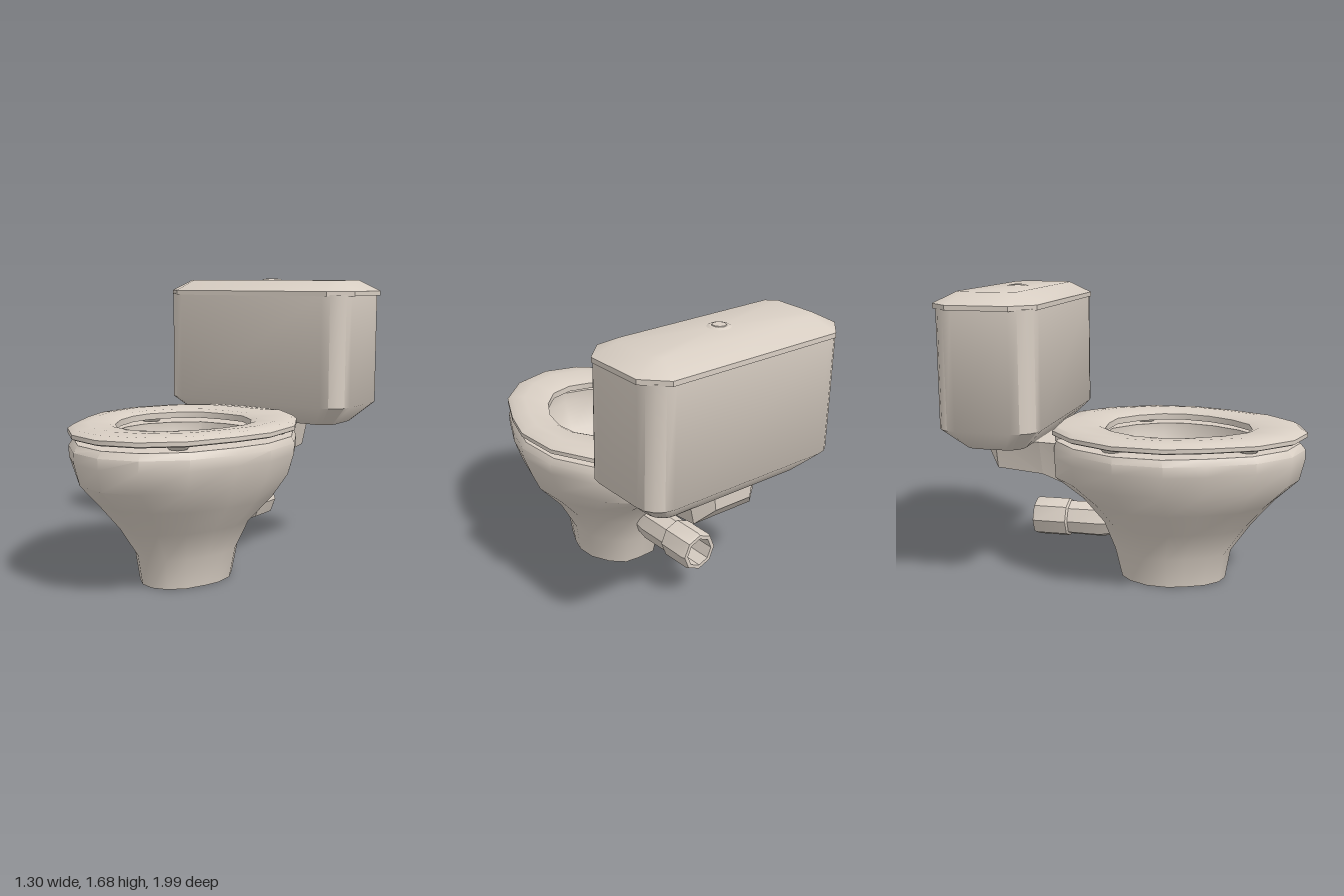
import * as THREE from 'three';
import { toCreasedNormals } from 'three/addons/utils/BufferGeometryUtils.js';

const ceramic = new THREE.MeshStandardMaterial({ color: 0xd8cec3 });
ceramic.name = 'ceramic';

// Half outlines in plan (x, z), front to back; mirrored into closed loops
const EGG = [[0, .99], [.215, .93], [.405, .755], [.525, .5], [.595, .28], [.58, 0], [.445, -.26], [.26, -.42], [0, -.44]];
const HOLE = [[0, .68], [.14, .645], [.255, .53], [.335, .385], [.37, .23], [.355, .1], [.27, -.04], [.15, -.14], [0, -.155]];
const mirrorLoop = (half) => [...half, ...half.slice(1, -1).reverse().map(([x, z]) => [-x, z])];

// Stretch a half outline to a given half width, front z and back z
function ring(half, y, width, front, back) {
  const w = Math.max(...half.map((p) => p[0]));
  const f = half[0][1], b = half[half.length - 1][1];
  return mirrorLoop(half).map(([x, z]) => [x / w * width, y, back + (z - b) / (f - b) * (front - back)]);
}

// Rectangle in plan with cut or rounded corners
function rectRing(y, hx, front, back, r, steps) {
  const pts = [];
  const corners = [[1, 1, Math.PI / 2], [1, -1, 0], [-1, -1, -Math.PI / 2], [-1, 1, -Math.PI]];
  for (const [sx, sz, start] of corners) {
    for (let i = 0; i <= steps; i++) {
      const a = start - (i / steps) * Math.PI / 2;
      pts.push([sx * (hx - r) + r * Math.cos(a), y, (sz > 0 ? front - r : back + r) + r * Math.sin(a)]);
    }
  }
  return pts;
}

// Skin a series of equal-length loops
function loft(rings, { capStart = true, capEnd = true, closed = false, crease = 0.7 } = {}) {
  const n = rings[0].length, pos = rings.flat(2), idx = [];
  const last = closed ? rings.length : rings.length - 1;
  for (let i = 0; i < last; i++) {
    const lo = i * n, hi = ((i + 1) % rings.length) * n;
    for (let j = 0; j < n; j++) {
      const k = (j + 1) % n;
      idx.push(lo + j, lo + k, hi + k, lo + j, hi + k, hi + j);
    }
  }
  const cap = (r, up) => {
    const c = pos.length / 3, base = r * n;
    for (let a = 0; a < 3; a++) pos.push(rings[r].reduce((s, p) => s + p[a], 0) / n);
    for (let j = 0; j < n; j++) {
      const k = (j + 1) % n;
      idx.push(c, base + (up ? j : k), base + (up ? k : j));
    }
  };
  if (capStart && !closed) cap(0, false);
  if (capEnd && !closed) cap(rings.length - 1, true);
  const g = new THREE.BufferGeometry();
  g.setAttribute('position', new THREE.Float32BufferAttribute(pos, 3));
  g.setIndex(idx);
  return toCreasedNormals(g, crease);
}

export function createModel() {
  const model = new THREE.Group();
  model.name = 'toilet';
  const add = (name, geometry, x = 0, y = 0, z = 0) => {
    const mesh = new THREE.Mesh(geometry, ceramic);
    mesh.name = name;
    mesh.position.set(x, y, z);
    model.add(mesh);
    return mesh;
  };
  const cx = -0.015;

  // Pedestal and bowl: recessed foot, flaring outside, rim, then the basin
  const outside = [
    [.03, .2, .49, -.01], [0, .2, .49, -.01], [0, .24, .54, -.06], [.17, .267, .57, -.10],
    [.34, .355, .69, -.16], [.49, .49, .82, -.27], [.61, .55, .95, -.43], [.73, .593, .98, -.43],
    [.79, .597, .98, -.43], [.825, .575, .95, -.42],
  ];
  const basin = [
    [.825, .41, .73, -.19], [.76, .41, .73, -.19], [.6, .35, .66, -.1], [.47, .22, .53, .06],
    [.38, .12, .42, .18], [.3, .08, .36, .2],
  ];
  add('bowl', loft([
    ...outside.map((p) => ring(EGG, ...p)),
    ...basin.map((p) => ring(HOLE, ...p)),
  ]), cx);

  // Seat ring with a rounded top
  add('seat', loft([
    ring(EGG, .855, .58, .975, -.43), ring(EGG, .862, .595, .99, -.44), ring(EGG, .885, .595, .99, -.44),
    ring(EGG, .905, .565, .955, -.42), ring(EGG, .912, .5, .86, -.33), ring(HOLE, .905, .4, .72, -.19),
    ring(HOLE, .89, .37, .68, -.155), ring(HOLE, .855, .37, .68, -.155),
  ], { closed: true }), cx);

  // Rubber feet under the seat and hinge blocks
  for (const s of [-1, 1]) {
    for (const [x, z] of [[.29, .69], [.44, -.03]]) {
      add('seatPad', new THREE.CylinderGeometry(.075, .05, .03, 12), cx + s * x, .842, z);
    }
    add('seatHinge', new THREE.CylinderGeometry(.035, .03, .06, 10), cx + s * .17, .84, -.4);
  }

  // Shelf behind the bowl that carries the tank: z, bottom, top, half widths
  const shelf = [
    [-.22, .47, .8, .1, .24], [-.5, .615, .815, .2, .26], [-.77, .64, .815, .2, .24], [-.85, .73, .8, .12, .13],
  ];
  add('tankShelf', loft(shelf.map(([z, b, t, wb, wt]) => [
    [wb, b, z], [-wb, b, z], [-wt, t, z], [wt, t, z],
  ]), { crease: 0.25 }), cx);

  // Waste outlet with a wider open collar
  const pipe = [[.05, 0], [.085, .1], [.105, .2], [.102, .39], [.115, .4], [.115, .585], [.108, .6],
    [.085, .6], [.085, .42], [.001, .42]].map(([r, l]) => new THREE.Vector2(r, l));
  const outlet = add('outletPipe', toCreasedNormals(new THREE.LatheGeometry(pipe, 8), 0.6), cx, .305, 0);
  outlet.rotation.x = -Math.PI / 2;

  // Tank with rounded corners and a tapered underside
  add('tank', loft([
    rectRing(.812, .5, -.53, -.87, .09, 4),
    rectRing(.93, .628, -.412, -.985, .13, 4),
    rectRing(1.59, .628, -.412, -.985, .13, 4),
  ], { crease: 0.9 }));

  // Lid with cut corners and sloping edges
  add('tankLid', loft([
    rectRing(1.583, .652, -.408, -1, .12, 1),
    rectRing(1.61, .652, -.408, -1, .12, 1),
    rectRing(1.674, .535, -.53, -.875, .05, 1),
  ], { crease: 0.6 }));

  // Flush button
  add('buttonRing', new THREE.CylinderGeometry(.05, .066, .008, 16), -.005, 1.677, -.7);
  add('flushButton', new THREE.CylinderGeometry(.036, .04, .006, 16), -.005, 1.682, -.7);

  return model;
}
